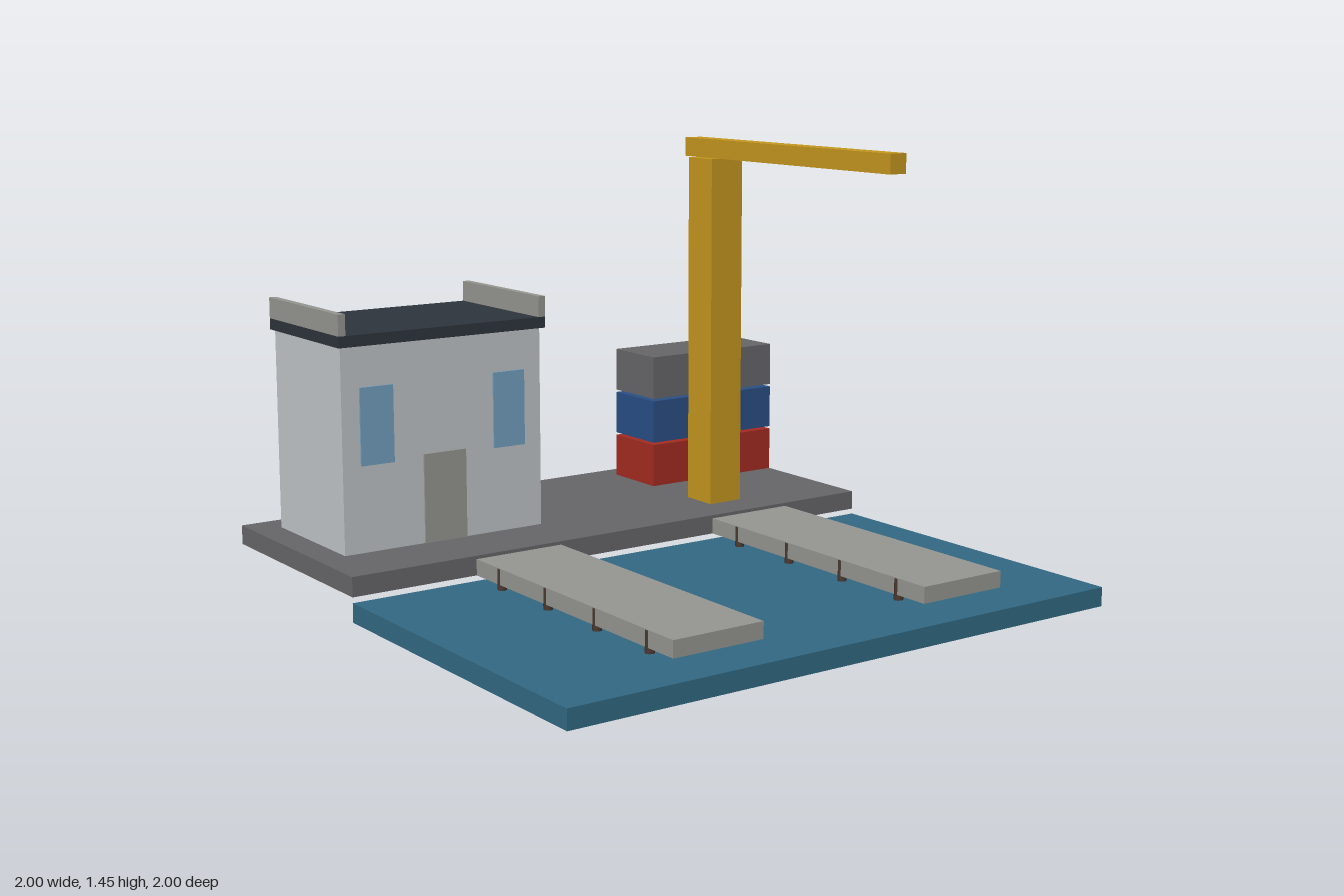
import * as THREE from 'three';

const mat = (name, color) => {
  const m = new THREE.MeshStandardMaterial({ color });
  m.name = name;
  return m;
};

export function createModel() {
  const asphalt = mat('asphalt grey', 0x676669);
  const water = mat('water blue', 0x336a84);
  const concrete = mat('concrete grey', 0x969792);
  const wall = mat('wall grey', 0xc2c6c9);
  const roofDark = mat('roof slate', 0x2d353c);
  const glass = mat('window blue', 0x72a0c0);
  const craneYellow = mat('crane yellow', 0xc6981f);
  const red = mat('container red', 0xa52c22);
  const blue = mat('container blue', 0x2a4f86);
  const timber = mat('timber brown', 0x4a3830);

  const model = new THREE.Group();
  model.name = 'harbour';

  const group = (name) => {
    const g = new THREE.Group();
    g.name = name;
    model.add(g);
    return g;
  };

  // Box given by its limits on each axis
  const box = (parent, name, material, [x0, x1], [y0, y1], [z0, z1]) => {
    const mesh = new THREE.Mesh(new THREE.BoxGeometry(x1 - x0, y1 - y0, z1 - z0), material);
    mesh.position.set((x0 + x1) / 2, (y0 + y1) / 2, (z0 + z1) / 2);
    mesh.name = name;
    parent.add(mesh);
  };

  // Water slab and quay
  box(model, 'water', water, [-1, 1], [0.043, 0.105], [-0.2, 1]);
  box(model, 'quay', asphalt, [-1, 1], [0.123, 0.187], [-1, -0.2]);

  // Two piers, each on two rows of piles
  const pileGeometry = new THREE.CylinderGeometry(0.015, 0.015, 0.174, 8);
  for (const x of [-0.4025, 0.532]) {
    const pier = group('pier');
    box(pier, 'pierDeck', concrete, [x - 0.159, x + 0.159], [0.123, 0.176], [-0.2, 0.863]);
    for (const side of [-1, 1]) {
      for (let i = 0; i < 4; i++) {
        const pile = new THREE.Mesh(pileGeometry, timber);
        pile.position.set(x + side * 0.147, 0.087, -0.065 + i * 0.2665);
        pile.name = 'pile';
        pier.add(pile);
      }
    }
  }

  // Harbour office
  const office = group('office');
  box(office, 'walls', wall, [-0.903, -0.171], [0.187, 0.855], [-0.9, -0.436]);
  box(office, 'roof', roofDark, [-0.914, -0.157], [0.855, 0.892], [-0.914, -0.422]);
  for (const x of [-0.914, -0.182]) {
    box(office, 'parapet', concrete, [x, x + 0.025], [0.892, 0.961], [-0.914, -0.422]);
  }
  box(office, 'door', concrete, [-0.615, -0.46], [0.187, 0.482], [-0.436, -0.43]);
  for (const x of [-0.84, -0.353]) {
    for (const z of [-0.436, -0.906]) {
      box(office, 'window', glass, [x, x + 0.118], [0.47, 0.722], [z, z + 0.006]);
    }
  }

  // Crane
  const crane = group('crane');
  box(crane, 'mast', craneYellow, [0.465, 0.595], [0.187, 1.39], [-0.468, -0.336]);
  box(crane, 'jib', craneYellow, [0.498, 0.563], [1.39, 1.454], [-0.532, 0.533]);

  // Stacked containers
  const stack = group('containers');
  [red, blue, asphalt].forEach((material, i) => {
    const y = 0.187 + i * 0.161;
    box(stack, 'container', material, [0.465, 1], [y, y + 0.152], [-0.917, -0.68]);
  });

  return model;
}
